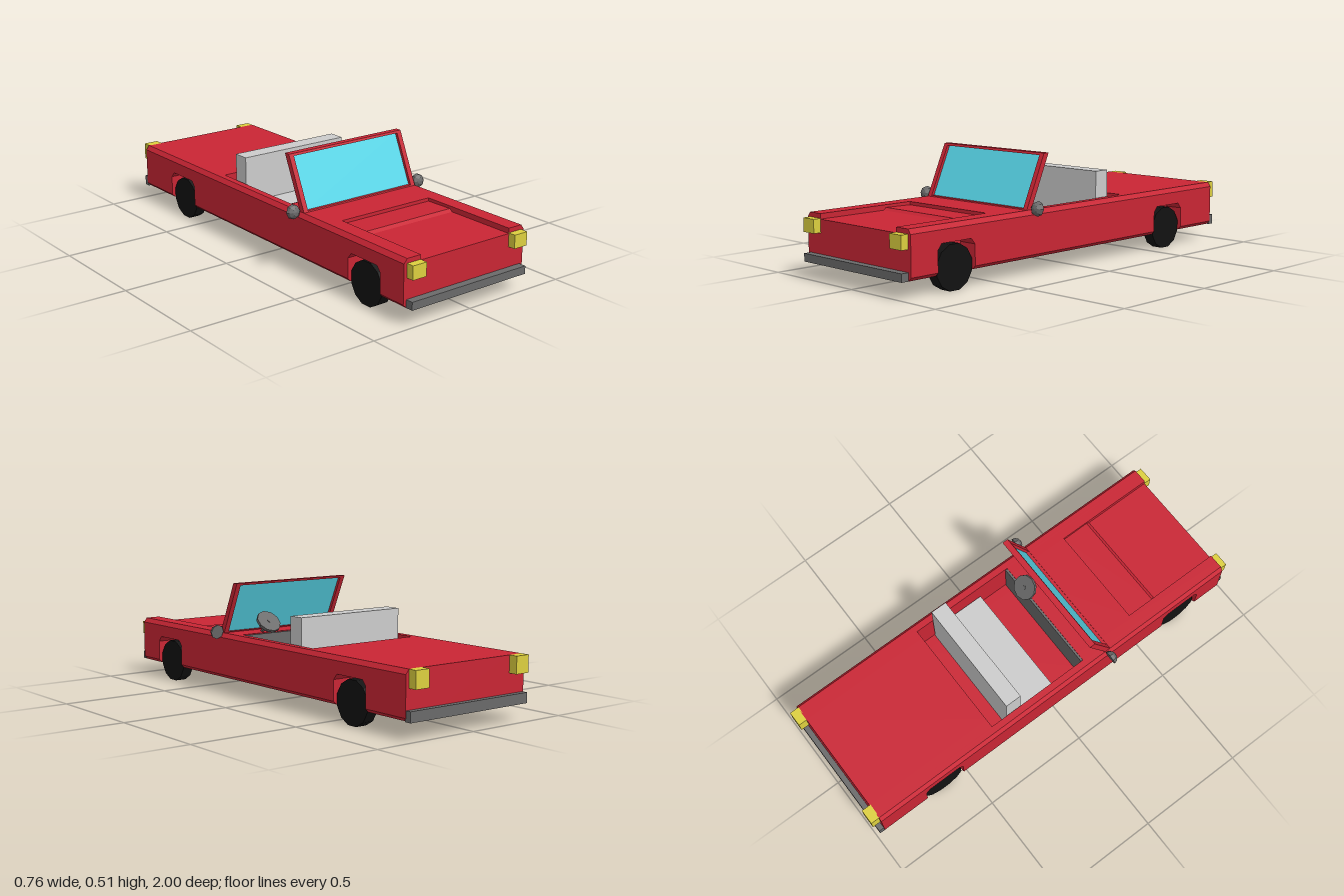
import * as THREE from 'three';

const mat = (color) => new THREE.MeshStandardMaterial({ color, flatShading: true, side: THREE.DoubleSide });
const red = mat(0xc92534), glass = mat(0x58d8ea), yellow = mat(0xdccf3f);
const dark = mat(0x6a6a6a), black = mat(0x111111), grey = mat(0xcccccc);

const BOTTOM = 0.075, TOP = 0.28, FRONT = 0.965, BACK = -0.96;
const WHEEL_Z = [0.725, -0.625];

// Lower edge of the body, running from back to front, with optional wheel arches
function lowerEdge(arches) {
  const pts = [[BACK, BOTTOM]];
  if (arches) {
    for (const z of [...WHEEL_Z].reverse()) {
      pts.push([z - 0.1, BOTTOM], [z - 0.1, 0.18], [z - 0.08, 0.205],
        [z + 0.08, 0.205], [z + 0.1, 0.18], [z + 0.1, BOTTOM]);
    }
  }
  pts.push([FRONT, BOTTOM]);
  return pts;
}

const cockpit = [[0.18, TOP], [0.18, 0.1], [-0.33, 0.1], [-0.33, TOP]];
const hood = [[FRONT, 0.257], [0.63, 0.257], [0.615, 0.268], [0.48, 0.265], [0.48, TOP]];
const plainNose = [[FRONT, TOP]];

// Extrudes a side profile (z, y) across the body from x0 to x1
function slab(points, x0, x1, steps = 1) {
  const shape = new THREE.Shape(points.map(([z, y]) => new THREE.Vector2(z, y)));
  const geo = new THREE.ExtrudeGeometry(shape, { depth: x1 - x0, steps, bevelEnabled: false });
  return geo.translate(0, 0, -x1).rotateY(-Math.PI / 2);
}

// Slants the outermost layer inward at the sill and shoulder
function chamfer(geo) {
  const p = geo.attributes.position;
  for (let i = 0; i < p.count; i++) {
    if (Math.abs(p.getX(i)) < 0.32) continue;
    if (p.getY(i) < BOTTOM + 0.005) p.setY(i, 0.09);
    if (p.getY(i) > TOP - 0.005) p.setY(i, 0.26);
  }
  geo.computeVertexNormals();
  return geo;
}

export function createModel() {
  const model = new THREE.Group();

  function add(name, geo, material, x = 0, y = 0, z = 0, parent = model) {
    const mesh = new THREE.Mesh(geo, material);
    mesh.name = name;
    mesh.position.set(x, y, z);
    parent.add(mesh);
    return mesh;
  }
  // Box given by its limits on each axis
  function box(name, material, x0, x1, y0, y1, z0, z1) {
    return add(name, new THREE.BoxGeometry(x1 - x0, y1 - y0, z1 - z0), material,
      (x0 + x1) / 2, (y0 + y1) / 2, (z0 + z1) / 2);
  }

  // Body: centre with sunken hood, inner strips, chamfered outer sides
  const body = new THREE.Group();
  body.name = 'body';
  model.add(body);
  const tail = [[BACK, TOP]];
  add('bodyCentre', slab([...lowerEdge(false), ...hood, ...cockpit, ...tail], -0.24, 0.24), red, 0, 0, 0, body);
  const inner = [...lowerEdge(true), ...plainNose, ...cockpit, ...tail];
  const outer = [...lowerEdge(true), ...plainNose, ...tail];
  for (const [side, s] of [['left', 1], ['right', -1]]) {
    const span = (a, b) => (s > 0 ? [a, b] : [-b, -a]);
    add(side + 'InnerPanel', slab(inner, ...span(0.24, 0.28)), red, 0, 0, 0, body);
    add(side + 'OuterPanel', chamfer(slab(outer, ...span(0.28, 0.325), 3)), red, 0, 0, 0, body);

    // Lamps
    box(side + 'Headlight', yellow, ...span(0.24, 0.31), 0.2, 0.26, 0.96, 1.0);
    box(side + 'TailLight', yellow, ...span(0.24, 0.31), 0.205, 0.28, -1.0, -0.955);

    // Wheels
    WHEEL_Z.forEach((z, i) => {
      const tyre = new THREE.CylinderGeometry(0.098, 0.098, 0.052, 12).rotateZ(Math.PI / 2)
        .rotateX(Math.PI / 12);
      add(side + (i ? 'RearWheel' : 'FrontWheel'), tyre, black, s * 0.285, 0.097, z);
    });

    // Half-round door mirror, domed toward the front
    const dome = new THREE.SphereGeometry(0.033, 8, 3, 0, Math.PI * 2, 0, Math.PI / 2);
    const mirror = add(side + 'Mirror', dome, dark, s * 0.348, 0.287, 0.282);
    mirror.rotation.x = Math.PI / 2 - 0.15;
    mirror.scale.y = 0.9;
    const back = add(side + 'MirrorFace', new THREE.CircleGeometry(0.033, 8), dark, 0, 0, 0, mirror);
    back.rotation.x = Math.PI / 2;
  }

  // Bumpers
  box('frontBumper', dark, -0.31, 0.31, 0.075, 0.11, 0.96, 1.0);
  box('rearBumper', dark, -0.322, 0.322, 0.075, 0.12, -0.985, -0.955);

  // Cockpit
  box('seatBack', grey, -0.274, 0.274, 0.1, 0.4, -0.245, -0.168);
  box('seatCushion', grey, -0.274, 0.274, 0.1, 0.19, -0.168, 0.02);
  box('dashboard', dark, -0.278, 0.278, 0.1, 0.277, 0.17, 0.181);

  // Steering wheel on its column, tilted toward the seat
  const steering = new THREE.Group();
  steering.name = 'steering';
  steering.position.set(0.14, 0.328, 0.176);
  steering.rotation.x = -Math.PI / 4;
  model.add(steering);
  add('steeringWheel', new THREE.CylinderGeometry(0.058, 0.058, 0.014, 10), dark, 0, 0, 0, steering);
  add('steeringColumn', new THREE.CylinderGeometry(0.009, 0.009, 0.11, 6), dark, 0, -0.045, 0, steering);

  // Windscreen, leaning back by a shear
  const lean = (geo) => {
    const p = geo.attributes.position;
    for (let i = 0; i < p.count; i++) p.setZ(i, p.getZ(i) - (p.getY(i) - 0.275) * 0.45);
    geo.computeVertexNormals();
    return geo;
  };
  const rect = (C, w, y0, y1) => new C([[-w, y0], [w, y0], [w, y1], [-w, y1]].map((q) => new THREE.Vector2(...q)));
  const frame = rect(THREE.Shape, 0.31, 0.272, 0.513);
  frame.holes.push(rect(THREE.Path, 0.287, 0.285, 0.503));
  add('windscreenFrame', lean(new THREE.ExtrudeGeometry(frame, { depth: 0.028, bevelEnabled: false })
    .translate(0, 0, 0.286)), red);
  add('windscreenGlass', lean(new THREE.PlaneGeometry(0.574, 0.218).translate(0, 0.394, 0.3)), glass);

  return model;
}
